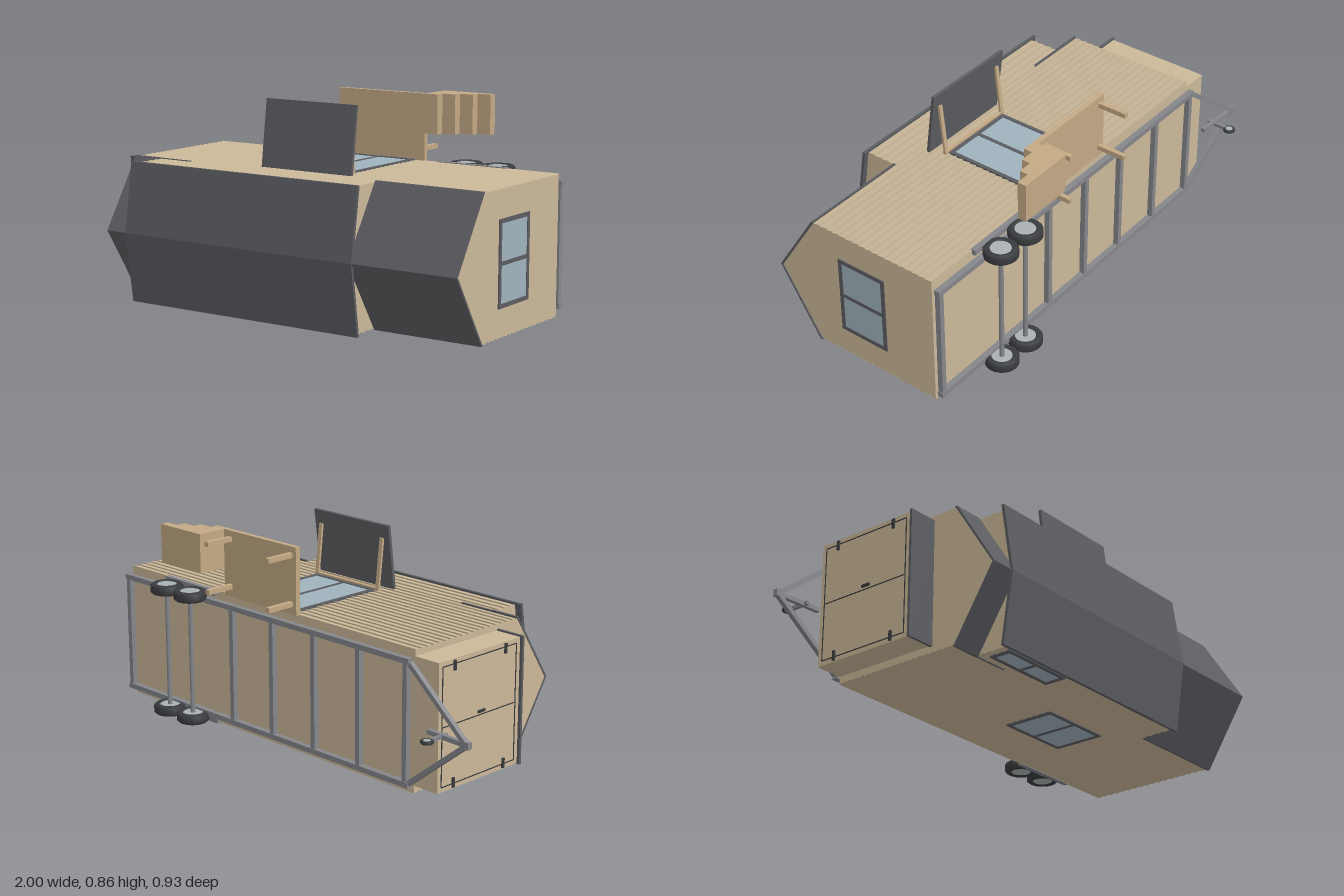
import * as THREE from 'three';

const mat = (color, side = THREE.FrontSide) => new THREE.MeshStandardMaterial({ color, side, flatShading: true });
const siding = mat(0xcbb899), timber = mat(0xc3a984), roofing = mat(0x5c5d61), trim = mat(0x5c5d61);
const glass = mat(0x9fb3bd), steel = mat(0x85868b), tyre = mat(0x3a3b3e), hubMetal = mat(0xa9b0b3);
const line = mat(0x3a3b3e);

const MID = 0.293; // middle of the house across its width (y)

export function createModel() {
  const root = new THREE.Group();

  const add = (name, geo, material, parent = root) => {
    const m = new THREE.Mesh(geo, material);
    m.name = name;
    parent.add(m);
    return m;
  };
  // box from its minimum and maximum on each axis
  const box = (name, material, x0, x1, y0, y1, z0, z1, parent = root) => {
    const m = add(name, new THREE.BoxGeometry(x1 - x0, y1 - y0, z1 - z0), material, parent);
    m.position.set((x0 + x1) / 2, (y0 + y1) / 2, (z0 + z1) / 2);
    return m;
  };
  // square bar between two points
  const bar = (name, material, p, q, w, h = w) => {
    const a = new THREE.Vector3(...p), b = new THREE.Vector3(...q);
    const m = add(name, new THREE.BoxGeometry(w, h, a.distanceTo(b)), material);
    m.position.copy(a).lerp(b, 0.5);
    m.lookAt(b);
    return m;
  };
  // (z, y) cross-section extruded along x
  const section = (name, material, pts, x0, x1) => {
    const shape = new THREE.Shape(pts.map(([z, y]) => new THREE.Vector2(z, y)));
    const geo = new THREE.ExtrudeGeometry(shape, { depth: x1 - x0, bevelEnabled: false });
    geo.rotateY(-Math.PI / 2).translate(x1, 0, 0);
    return add(name, geo, material);
  };

  // House walls: clapboards as a sawtooth on both long sides, closed by the gable
  const clapboards = (name, x0, x1, z0, z1, ridge, boards) => {
    const side = [];
    const h = (z1 - z0) / boards;
    for (let i = 0; i < boards; i++) side.push([z0 + i * h, 0.29], [z0 + (i + 1) * h, 0.284]);
    const lower = side.map(([z, d]) => [z, MID - d]);
    const upper = side.map(([z, d]) => [z, MID + d]).reverse();
    section(name, siding, [...lower, [ridge, MID], ...upper], x0, x1);
  };
  clapboards('houseBody', -0.68, 0.995, -0.32, 0.265, 0.448, 18);
  clapboards('dormerWalls', -0.55, 0.52, 0.262, 0.405, 0.447, 4);

  // Roofs: steep gable at both ends, raised shallow dormer between
  const gableRoof = (name, x0, x1, eave, ridge, t) => section(name, roofing, [
    [eave, MID - 0.293], [ridge, MID], [eave, MID + 0.293],
    [eave - t, MID + 0.293], [ridge - t, MID], [eave - t, MID - 0.293],
  ], x0, x1);
  gableRoof('endRoofLeft', 0.52, 1.0, 0.27, 0.457, 0.01);
  gableRoof('endRoofRight', -0.682, -0.55, 0.27, 0.457, 0.01);
  gableRoof('dormerRoof', -0.58, 0.54, 0.418, 0.462, 0.013);
  for (const y of [0.002, 0.578]) box('eaveStrip', roofing, -0.68, -0.39, y, y + 0.007, 0.26, 0.268);

  // Windows: frame, bar and glass, facing local +z
  const pane = (name, w, h, upright, pos, rot) => {
    const g = new THREE.Group();
    g.name = name;
    const f = 0.017, X = w / 2, Y = h / 2;
    box('glass', glass, -X + f, X - f, -Y + f, Y - f, -0.004, 0.002, g);
    for (const s of [-1, 1]) {
      box('frameSide', trim, s * (X - f / 2) - f / 2, s * (X - f / 2) + f / 2, -Y, Y, -0.005, 0.005, g);
      box('frameRail', trim, -X + f, X - f, s * (Y - f / 2) - f / 2, s * (Y - f / 2) + f / 2, -0.005, 0.005, g);
    }
    if (upright) box('mullion', trim, -0.008, 0.008, -Y + f, Y - f, -0.005, 0.004, g);
    else box('mullion', trim, -X + f, X - f, -0.008, 0.008, -0.005, 0.004, g);
    g.position.set(...pos);
    g.rotation.set(...rot);
    root.add(g);
  };
  const Q = Math.PI / 2;
  pane('endWindow', 0.23, 0.345, false, [0.995, 0.293, 0.03], [0, Q, 0]);
  pane('glassDoor', 0.345, 0.455, true, [0.158, 0.582, -0.083], [-Q, 0, 0]);
  pane('sideWindow', 0.34, 0.23, true, [0.22, 0.005, 0.03], [Q, 0, 0]);
  pane('loftWindow', 0.34, 0.1, true, [-0.35, 0.005, 0.35], [Q, 0, 0]);

  // Awning over the door, with its ledger and two braces
  bar('awning', roofing, [0.158, 0.583, 0.215], [0.158, 0.858, 0.18], 0.435, 0.013);
  box('awningLedger', timber, -0.03, 0.345, 0.578, 0.592, 0.147, 0.162);
  for (const x of [-0.02, 0.337]) bar('awningBrace', timber, [x, 0.588, 0.154], [x, 0.8, 0.178], 0.018, 0.01);

  // Deck on four posts
  box('deck', timber, -0.05, 0.375, 0.58, 0.86, -0.337, -0.315);
  for (const x of [-0.022, 0.337]) for (const y of [0.625, 0.825])
    box('deckPost', timber, x - 0.01, x + 0.01, y - 0.01, y + 0.01, -0.465, -0.335);

  // Stairs beside the deck
  for (let i = 0; i < 4; i++)
    box('step', timber, 0.375 + i * 0.061, 0.436 + i * 0.061, 0.695, 0.86, -0.465, -0.315 - i * 0.0375);

  // Storage box on the tongue, with roof slab, double doors and hinges
  box('storageBox', siding, -0.8, -0.68, 0.035, 0.555, -0.32, 0.142);
  box('storageRoof', roofing, -0.81, -0.68, 0.03, 0.56, 0.145, 0.156);
  for (const y of [0.055, 0.295, 0.535]) box('doorSeam', line, -0.802, -0.799, y - 0.002, y + 0.002, -0.3, 0.12);
  for (const z of [-0.3, 0.12]) box('doorSeam', line, -0.802, -0.799, 0.055, 0.535, z - 0.002, z + 0.002);
  for (const y of [0.06, 0.53]) for (const z of [-0.235, 0.055])
    box('hinge', line, -0.807, -0.798, y - 0.02, y + 0.02, z - 0.006, z + 0.006);
  box('doorHandle', line, -0.807, -0.798, 0.305, 0.315, -0.1, -0.06);

  // Trailer frame: rails and cross members
  for (const y of [0.045, 0.541]) box('frameRail', steel, -0.68, 1.0, y - 0.011, y + 0.011, -0.36, -0.335);
  for (const x of [0.985, 0.32, 0.08, -0.16, -0.41, -0.66])
    box('crossMember', steel, x - 0.011, x + 0.011, 0.05, 0.536, -0.358, -0.335);

  // Tongue, coupler and jack wheel
  for (const s of [-1, 1])
    bar('tongueArm', steel, [-0.68, MID + s * 0.24, -0.347], [-0.98, MID + s * 0.006, -0.367], 0.02);
  bar('tongueBar', steel, [-0.78, MID, -0.354], [-0.98, MID, -0.367], 0.018);
  box('coupler', steel, -1.0, -0.965, MID - 0.014, MID + 0.014, -0.377, -0.357);
  box('jackPost', steel, -0.862, -0.848, MID - 0.007, MID + 0.007, -0.425, -0.335);

  // Wheels: turned tyre with a dished hub
  const wheel = (name, x, y, z, r, w) => {
    const g = new THREE.Group();
    g.name = name;
    const h = w / 2;
    const profile = [[0.6, -0.8], [0.65, -1], [0.88, -1], [1, -0.65], [1, 0.65], [0.88, 1], [0.65, 1], [0.6, 0.8]];
    const smooth = tyre.clone();
    smooth.flatShading = false;
    smooth.side = THREE.DoubleSide;
    add('tyre', new THREE.LatheGeometry(profile.map(([a, b]) => new THREE.Vector2(a * r, b * h)), 28), smooth, g);
    add('hub', new THREE.CylinderGeometry(r * 0.61, r * 0.61, w * 0.82, 28), hubMetal, g);
    g.position.set(x, y, z);
    root.add(g);
  };
  wheel('jackWheel', -0.855, MID, -0.441, 0.025, 0.014);
  for (const x of [0.53, 0.68]) {
    for (const y of [0.029, 0.561]) wheel('roadWheel', x, y, -0.394, 0.069, 0.042);
    const axle = add('axle', new THREE.CylinderGeometry(0.01, 0.01, 0.53, 16), steel);
    axle.position.set(x, 0.295, -0.394);
  }

  // Fender plates above the wheels
  for (const y of [0.013, 0.573]) box('fender', steel, 0.44, 0.76, y - 0.012, y + 0.012, -0.336, -0.314);

  return root;
}
